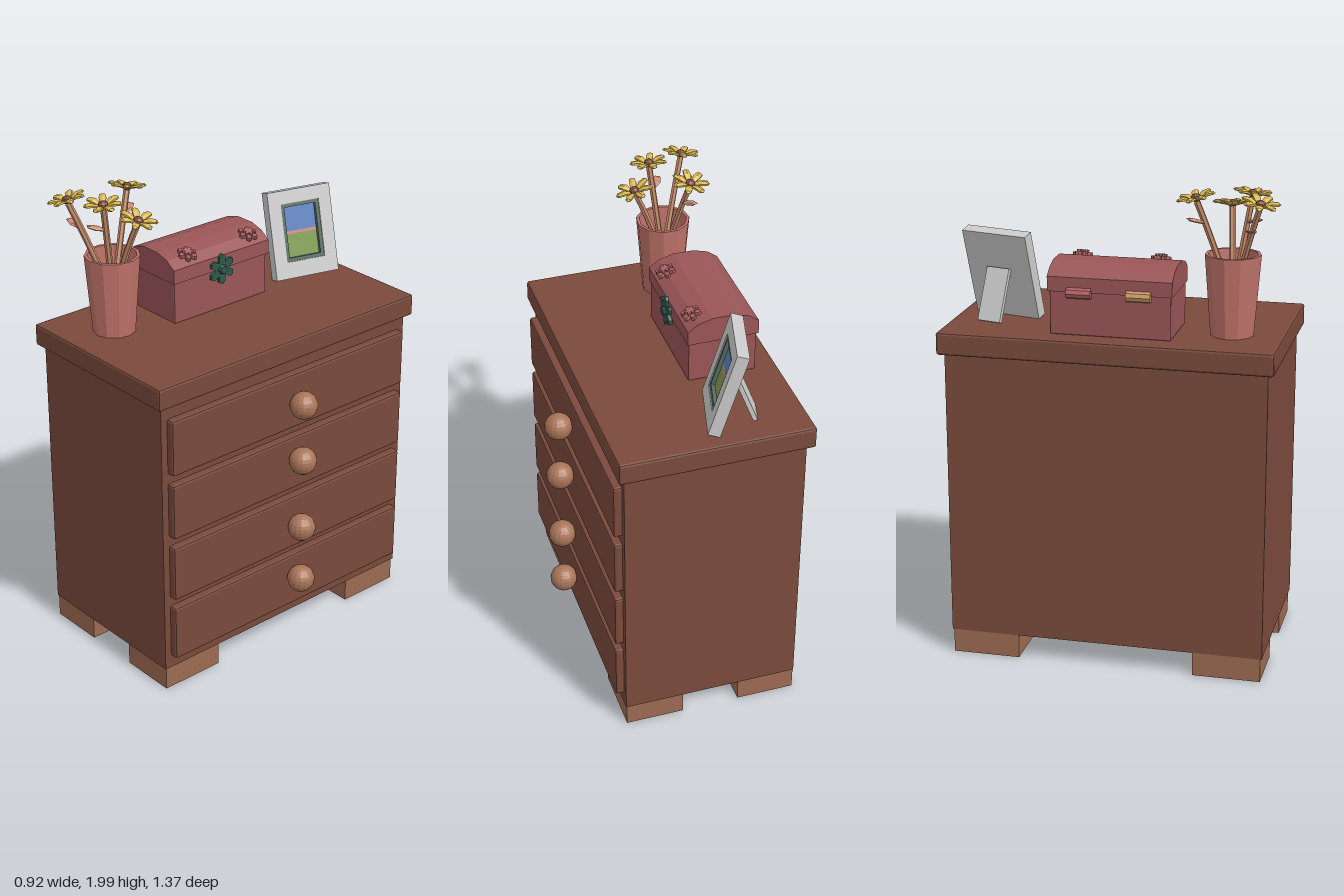
import * as THREE from 'three';
import { RoundedBoxGeometry } from 'three/addons/geometries/RoundedBoxGeometry.js';

const mat = (color, opts = {}) => new THREE.MeshStandardMaterial({ color, flatShading: true, ...opts });
const wood = mat(0x7a4a3c), footWood = mat(0x9c6b52), knobWood = mat(0xa87458);
const clay = mat(0xc0736a, { side: THREE.DoubleSide }), stemMat = mat(0xc58a68), leafMat = mat(0xd08a70, { side: THREE.DoubleSide });
const petalMat = mat(0xd9b650), budMat = mat(0x7d4a38);
const chestMat = mat(0x9a5557), ornament = mat(0xb06466), latchMat = mat(0x2f5a4a), tan = mat(0xc89a62);
const grey = mat(0xcccccc), trimMat = mat(0x566b60), blue = mat(0x5a80c0), green = mat(0x7f9a50), pink = mat(0xd08a80);

function add(parent, name, geo, material, x = 0, y = 0, z = 0) {
  const m = new THREE.Mesh(geo, material);
  m.name = name;
  m.position.set(x, y, z);
  parent.add(m);
  return m;
}

// box given by its min and max corners; r rounds the edges
function block(parent, name, material, [x0, y0, z0], [x1, y1, z1], r = 0) {
  const s = [x1 - x0, y1 - y0, z1 - z0];
  const geo = r ? new RoundedBoxGeometry(...s, 1, r) : new THREE.BoxGeometry(...s);
  return add(parent, name, geo, material, (x0 + x1) / 2, (y0 + y1) / 2, (z0 + z1) / 2);
}

// flat petalled ornament in the xy plane
function rosette(radius, petals, depth) {
  const pts = [];
  for (let i = 0; i < petals * 4; i++) {
    const a = (i / (petals * 4)) * Math.PI * 2 + Math.PI / 2;
    const r = radius * [1, 0.88, 0.5, 0.88][i % 4];
    pts.push(new THREE.Vector2(Math.cos(a) * r, Math.sin(a) * r));
  }
  return new THREE.ExtrudeGeometry(new THREE.Shape(pts), { depth, bevelEnabled: false });
}

function rectPath(Type, w, y0, y1) {
  return new Type([[-w, y0], [w, y0], [w, y1], [-w, y1]].map(p => new THREE.Vector2(...p)));
}

function dresser() {
  const g = new THREE.Group();
  g.name = 'dresser';
  block(g, 'body', wood, [-0.43, 0.1, -0.655], [0.315, 1.31, 0.66]);
  block(g, 'top', wood, [-0.46, 1.305, -0.682], [0.342, 1.398, 0.686], 0.01);
  const drawers = [[0.155, 0.305], [0.437, 0.555], [0.72, 0.87], [1.005, 1.125]];
  for (const [y, knobY] of drawers) {
    block(g, 'drawer', wood, [0.29, y, -0.625], [0.35, y + 0.242, 0.63], 0.01);
    add(g, 'knob', new THREE.SphereGeometry(0.058, 16, 12), knobWood, 0.4, knobY, -0.01);
  }
  for (const x of [-0.43, 0.062])
    for (const z of [-0.648, 0.372])
      block(g, 'foot', footWood, [x, 0, z], [x + 0.248, 0.1, z + 0.282]);
  return g;
}

function chest() {
  const g = new THREE.Group();
  g.name = 'chest';
  block(g, 'chestBase', chestMat, [-0.367, 1.398, -0.232], [-0.083, 1.59, 0.26], 0.006);
  // lid with a faceted arch, extruded along z
  const profile = [[-0.373, 1.575], [-0.077, 1.575], [-0.077, 1.635], [-0.12, 1.665], [-0.18, 1.682],
    [-0.27, 1.682], [-0.33, 1.665], [-0.373, 1.635]];
  const lid = new THREE.Shape(profile.map(p => new THREE.Vector2(...p)));
  add(g, 'chestLid', new THREE.ExtrudeGeometry(lid, { depth: 0.506, bevelEnabled: false }), chestMat, 0, 0, -0.24);
  // green latch on the front of the lid
  const latch = add(g, 'latch', rosette(0.066, 6, 0.014), latchMat, -0.08, 1.578, 0.02);
  latch.rotation.y = Math.PI / 2;
  const boss = add(g, 'latchBoss', new THREE.CylinderGeometry(0.016, 0.024, 0.016, 8), latchMat, -0.062, 1.578, 0.02);
  boss.rotation.z = -Math.PI / 2;
  // layered blossoms on the lid
  for (const z of [-0.16, 0.165]) {
    const b = new THREE.Group();
    b.name = 'lidBlossom';
    add(b, 'outerPetals', rosette(0.042, 6, 0.016), ornament);
    add(b, 'innerPetals', rosette(0.026, 6, 0.012), ornament, 0, 0, 0.014).rotation.z = 0.5;
    b.rotation.set(-Math.PI / 2, 0.3, 0);
    b.position.set(-0.118, 1.662, z);
    g.add(b);
  }
  // hinges on the back
  for (const [z, m] of [[-0.11, ornament], [0.132, tan]]) {
    const hinge = add(g, 'hinge', new THREE.CylinderGeometry(0.022, 0.022, 0.1, 8), m, -0.373, 1.572, z);
    hinge.rotation.x = Math.PI / 2;
  }
  return g;
}

function flowerHead() {
  const g = new THREE.Group();
  g.name = 'flowerHead';
  // petal: tapered bar, flattened, widest near the tip, curling upward
  const petal = new THREE.LatheGeometry(
    [[0, 0.01], [0.009, 0.012], [0.017, 0.045], [0.014, 0.07], [0, 0.08]].map(p => new THREE.Vector2(...p)), 6);
  petal.scale(1, 1, 0.5);
  petal.rotateX(Math.PI / 2);
  const p = petal.attributes.position;
  for (let i = 0; i < p.count; i++) {
    const t = p.getZ(i) / 0.08;
    p.setY(i, p.getY(i) + 0.04 * t * (1.5 - t));
  }
  for (let i = 0; i < 7; i++)
    add(g, 'petal', petal, petalMat).rotation.y = (i / 7) * Math.PI * 2;
  add(g, 'flowerCentre', new THREE.SphereGeometry(0.021, 8, 6), budMat, 0, 0.014, 0).scale.y = 0.8;
  return g;
}

function vaseOfFlowers() {
  const g = new THREE.Group();
  g.name = 'flowerVase';
  g.position.set(-0.205, 1.398, 0.475);
  const wall = [[0, 0], [0.087, 0], [0.113, 0.328], [0.1, 0.328], [0.08, 0.06], [0, 0.06]];
  add(g, 'vase', new THREE.LatheGeometry(wall.map(p => new THREE.Vector2(...p)), 11), clay);
  // leaf: folded diamond outline pointing along +z
  const leaf = new THREE.SphereGeometry(0.035, 6, 4);
  leaf.scale(0.65, 0.22, 1.2);
  leaf.translate(0, 0, 0.04);
  const up = new THREE.Vector3(0, 1, 0);
  // head position relative to the vase; leaf height fraction and heading
  const flowers = [
    [-0.07, 0.545, -0.135, 0.8, 3.6],
    [0.13, 0.488, -0.03, 0, 0],
    [0.04, 0.55, 0.065, 0.78, -0.6],
    [-0.115, 0.54, 0.12, 0.76, -1.5],
  ];
  flowers.forEach(([x, y, z, leafAt, heading], i) => {
    const tip = new THREE.Vector3(x, y, z);
    const root = new THREE.Vector3(-x * 0.12, 0.08, -z * 0.12);
    const bend = new THREE.Vector3(x * 0.42, 0.33, z * 0.42);
    const curve = new THREE.QuadraticBezierCurve3(root, bend, tip);
    add(g, 'stem', new THREE.TubeGeometry(curve, 6, 0.013, 6), stemMat);
    const head = flowerHead();
    head.position.copy(tip);
    const dir = curve.getTangent(1).lerp(up, 0.4).normalize();
    head.quaternion.setFromUnitVectors(up, dir);
    head.rotateY(i * 0.7);
    g.add(head);
    if (leafAt) {
      const l = add(g, 'leaf', leaf, leafMat);
      l.position.copy(curve.getPoint(leafAt));
      l.rotation.set(-0.25, heading, 0, 'YXZ');
    }
  });
  return g;
}

function pictureFrame() {
  const g = new THREE.Group();
  g.name = 'pictureFrame';
  const W = 0.148, H = 0.375, T = 0.05;
  // border with an opening, then trim and picture set inside it
  const border = rectPath(THREE.Shape, W, 0, H);
  border.holes.push(rectPath(THREE.Path, 0.09, 0.07, 0.318));
  add(g, 'frameBorder', new THREE.ExtrudeGeometry(border, { depth: T, bevelEnabled: false }), grey, 0, 0, -T);
  block(g, 'frameBack', grey, [-0.092, 0.068, -T], [0.092, 0.32, -0.03]);
  const trim = rectPath(THREE.Shape, 0.09, 0.07, 0.318);
  trim.holes.push(rectPath(THREE.Path, 0.074, 0.086, 0.302));
  add(g, 'frameTrim', new THREE.ExtrudeGeometry(trim, { depth: 0.026, bevelEnabled: false }), trimMat, 0, 0, -0.03);
  block(g, 'pictureField', green, [-0.074, 0.086, -0.03], [0.074, 0.186, -0.02]);
  block(g, 'pictureHorizon', pink, [-0.074, 0.186, -0.03], [0.074, 0.198, -0.02]);
  block(g, 'pictureSky', blue, [-0.074, 0.198, -0.03], [0.074, 0.302, -0.02]);
  // easel leg hinged on the back
  const leg = new THREE.Group();
  leg.name = 'easelLeg';
  leg.position.set(0, 0.215, -T + 0.005);
  leg.rotation.x = 0.66;
  block(leg, 'easelPlate', grey, [-0.052, -0.222, -0.018], [0.052, 0, 0]);
  g.add(leg);
  g.rotation.set(-0.28, 1.314, 0, 'YXZ');
  g.position.set(-0.073, 1.411, -0.467);
  return g;
}

export function createModel() {
  const model = new THREE.Group();
  model.name = 'dresserWithOrnaments';
  model.add(dresser(), chest(), vaseOfFlowers(), pictureFrame());
  return model;
}
